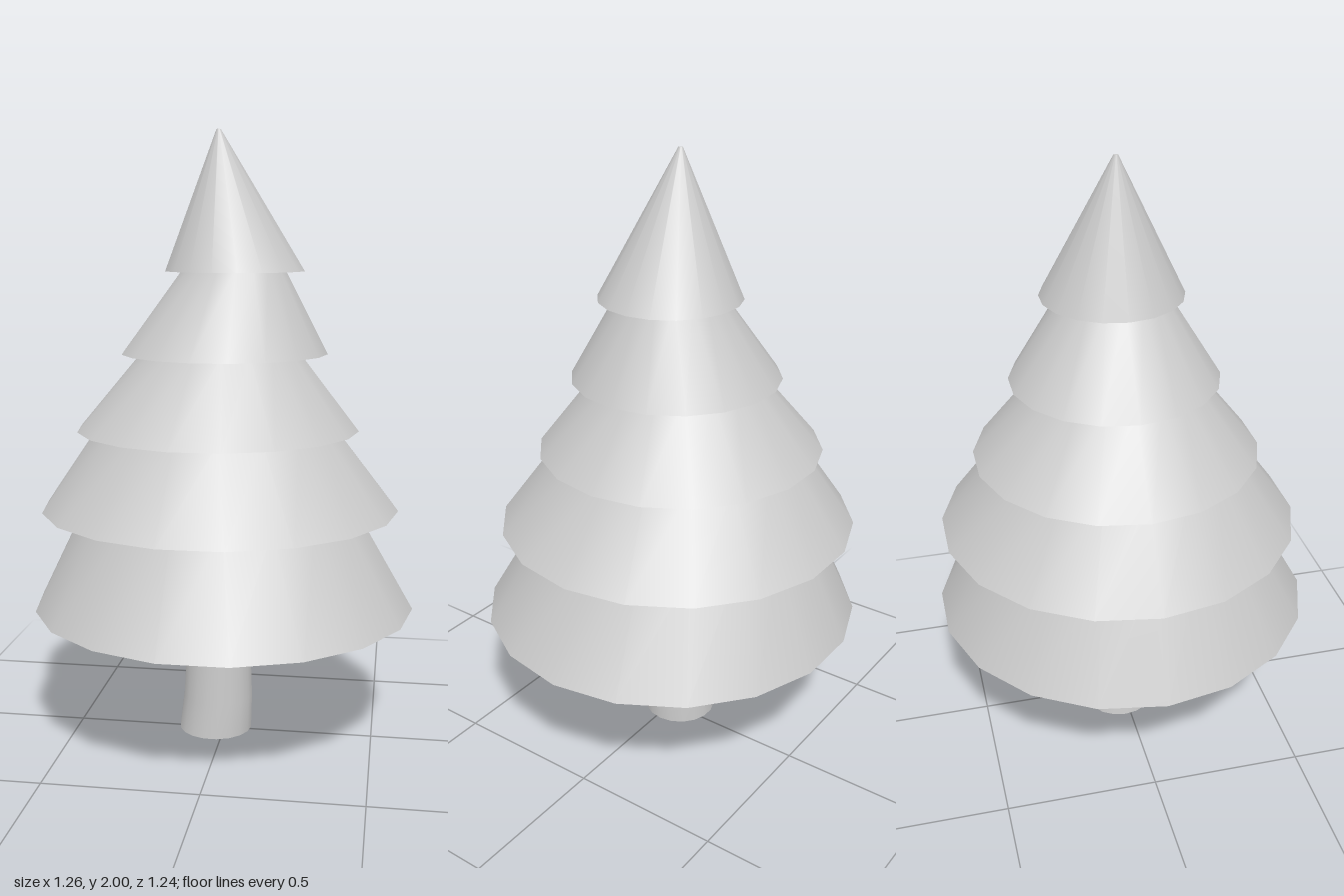
import * as THREE from 'three';

const SIDES = 18;
const material = new THREE.MeshStandardMaterial({ color: 0xcccccc });

// Smooth skin over round cross-sections [x, y, z, radius], ordered as a lathe
// profile: from the underside centre outwards, then upwards.
function loft(name, rings) {
  const pos = [], index = [];
  for (const [x, y, z, r] of rings) {
    for (let j = 0; j < SIDES; j++) {
      const a = (j / SIDES) * Math.PI * 2;
      pos.push(x + r * Math.cos(a), y, z - r * Math.sin(a));
    }
  }
  for (let i = 0; i < rings.length - 1; i++) {
    for (let j = 0; j < SIDES; j++) {
      const k = (j + 1) % SIDES;
      const a = i * SIDES + j, b = i * SIDES + k;
      index.push(a, b, b + SIDES, a, b + SIDES, a + SIDES);
    }
  }
  const geometry = new THREE.BufferGeometry();
  geometry.setAttribute('position', new THREE.Float32BufferAttribute(pos, 3));
  geometry.setIndex(index);
  geometry.computeVertexNormals();
  const mesh = new THREE.Mesh(geometry, material);
  mesh.name = name;
  return mesh;
}

export function createModel() {
  const tree = new THREE.Group();
  tree.name = 'tree';

  // Trunk, slightly bent, with a flat foot
  const trunk = new THREE.Group();
  trunk.name = 'trunk';
  const foot = [-0.033, 0, -0.018, 0.123];
  trunk.add(
    loft('trunkFoot', [[foot[0], 0, foot[2], 0], foot]),
    loft('trunkBark', [foot, [-0.024, 0.12, -0.016, 0.117], [-0.022, 0.3, -0.015, 0.109], [-0.02, 0.46, -0.014, 0.105]])
  );
  tree.add(trunk);

  // Foliage tiers: lower rim and upper edge of each skirt
  const tiers = [
    { rim: [-0.002, 0.455, 0, 0.628], top: [-0.02, 0.78, -0.014, 0.456] },
    { rim: [-0.017, 0.78, -0.015, 0.589], top: [-0.03, 1.04, -0.015, 0.397] },
    { rim: [-0.025, 1.04, -0.022, 0.464], top: [-0.015, 1.29, -0.018, 0.258] },
    { rim: [-0.003, 1.29, -0.021, 0.337], top: [0.029, 1.555, -0.018, 0.17] },
    { rim: [0.03, 1.555, -0.021, 0.227], top: [-0.022, 2, -0.02, 0.007] },
  ];
  // Hollow lip at the bottom, around a shallow cone that sags to the trunk
  let inner = [-0.015, 0.495, -0.01, 0.505];
  tree.add(loft('underside', [[-0.02, 0.432, -0.014, 0], inner]));

  tiers.forEach(({ rim, top }, i) => {
    const tier = new THREE.Group();
    tier.name = `foliageTier${i + 1}`;
    const last = i === tiers.length - 1;
    // Each skirt tucks a little way up under the next one
    const tuck = last ? top : [top[0], top[1] + 0.02, top[2], top[3] - 0.012];
    tier.add(loft('lip', [inner, rim]), loft('skirt', [rim, tuck]));
    if (last) tier.add(loft('tip', [top, [top[0], top[1], top[2], 0]]));
    tree.add(tier);
    inner = tuck;
  });

  return tree;
}
